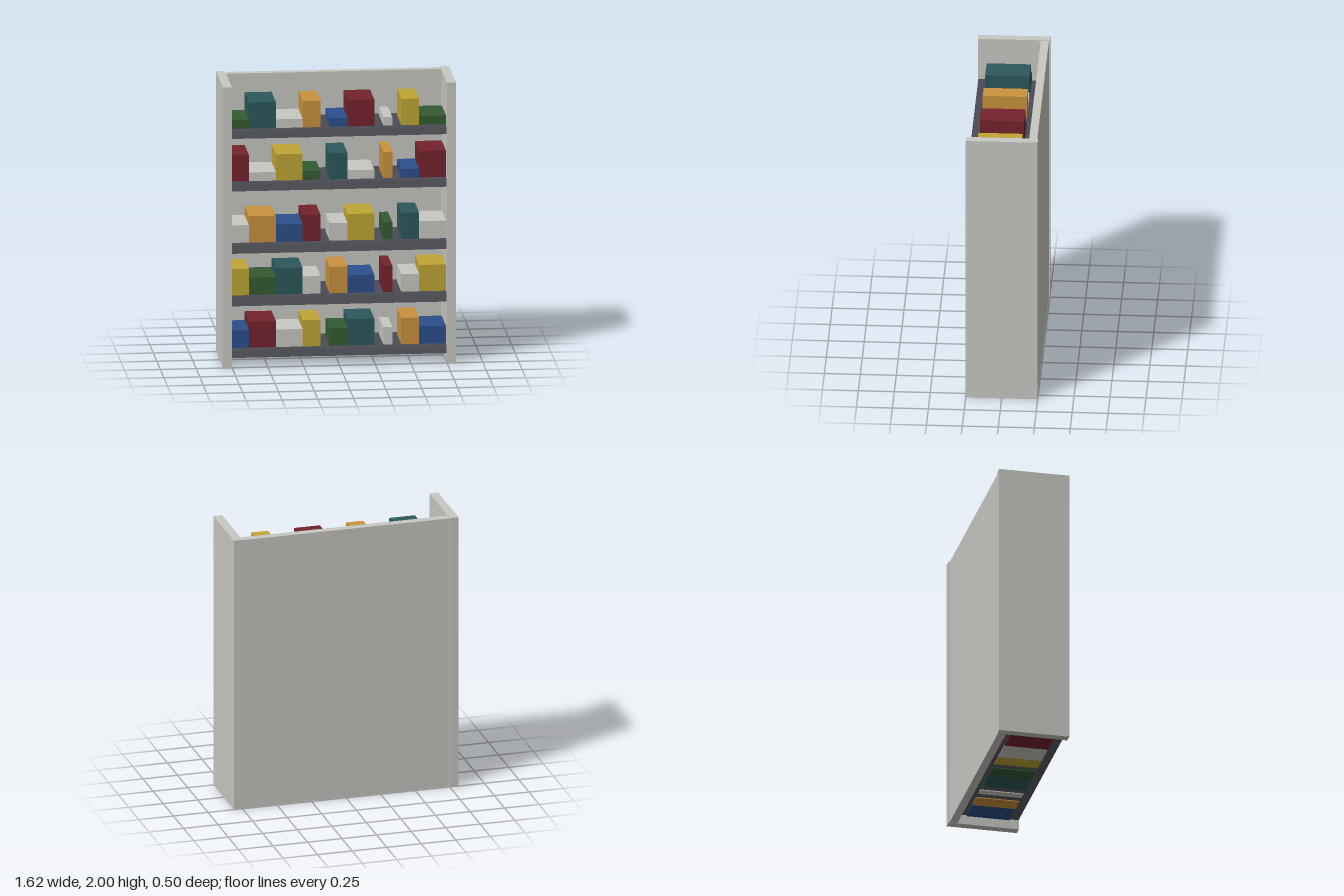
import * as THREE from 'three';

const mat = (name, color) => {
  const m = new THREE.MeshStandardMaterial({ color });
  m.name = name;
  return m;
};

// Box given by its minimum and maximum corners
function block(name, [x0, y0, z0], [x1, y1, z1], material) {
  const geo = new THREE.BoxGeometry(x1 - x0, y1 - y0, z1 - z0);
  const mesh = new THREE.Mesh(geo, material);
  mesh.position.set((x0 + x1) / 2, (y0 + y1) / 2, (z0 + z1) / 2);
  mesh.name = name;
  return mesh;
}

export function createModel() {
  const panel = mat('palePanel', 0xc8c8c3);
  const steel = mat('greyShelfEdge', 0x5b5d64);
  const deck = mat('darkShelfTop', 0x4a4c55);
  const goods = {
    W: panel,
    G: mat('green', 0x345c32),
    T: mat('teal', 0x2c585c),
    O: mat('orange', 0xca923c),
    B: mat('blue', 0x2c4f8c),
    R: mat('red', 0x75222d),
    Y: mat('yellow', 0xc0a634),
  };

  const model = new THREE.Group();
  model.name = 'stockedShelf';

  // Cabinet: side panels and slightly recessed back
  model.add(block('leftSidePanel', [0.75, 0, -0.25], [0.8125, 2, 0.25], panel));
  model.add(block('rightSidePanel', [-0.8125, 0, -0.25], [-0.75, 2, 0.25], panel));
  model.add(block('backPanel', [-0.75, 0.002, -0.244], [0.75, 1.995, -0.1875], panel));

  // Left and right edges of the nine packages on every shelf
  const slots = [
    [-0.75, -0.625], [-0.625, -0.4375], [-0.4375, -0.25], [-0.25, -0.125],
    [-0.0625, 0.0625], [0.0625, 0.25], [0.3125, 0.375], [0.4375, 0.5625], [0.5625, 0.75],
  ];
  // Shelf top, underside, low and tall package tops, package colours from -x to +x
  const rows = [
    { top: 0.125, under: 0.069, low: 0.25, tall: 0.3125, colors: 'BRWYGTWOB', first: 'low' },
    { top: 0.5, under: 0.4375, low: 0.625, tall: 0.6875, colors: 'YGTWOBRWY', first: 'tall' },
    { top: 0.875, under: 0.8125, low: 1.0, tall: 1.0625, colors: 'WOBRWYGTW', first: 'low' },
    { top: 1.3125, under: 1.257, low: 1.375, tall: 1.5, colors: 'RWYGTWOBR', first: 'tall' },
    { top: 1.6875, under: 1.632, low: 1.75, tall: 1.875, colors: 'GTWOBRWYG', first: 'low' },
  ];

  rows.forEach((row, r) => {
    const level = new THREE.Group();
    level.name = `shelfLevel${r + 1}`;
    // Shelf board with a darker upper face
    level.add(block('shelf', [-0.748, row.under, -0.1875], [0.748, row.top, 0.247],
      [steel, steel, deck, steel, steel, steel]));
    // Packages alternate in height and are sunk through the board
    const sunk = row.top - (row.under > row.top - 0.06 ? 0.0625 : 0.06);
    slots.forEach(([x0, x1], i) => {
      const tall = (i % 2 === 0) === (row.first === 'tall');
      level.add(block(`package${i + 1}`, [x0 + 0.0005, sunk, -0.125],
        [x1 - 0.0005, tall ? row.tall : row.low, 0.1825], goods[row.colors[i]]));
    });
    model.add(level);
  });

  return model;
}
